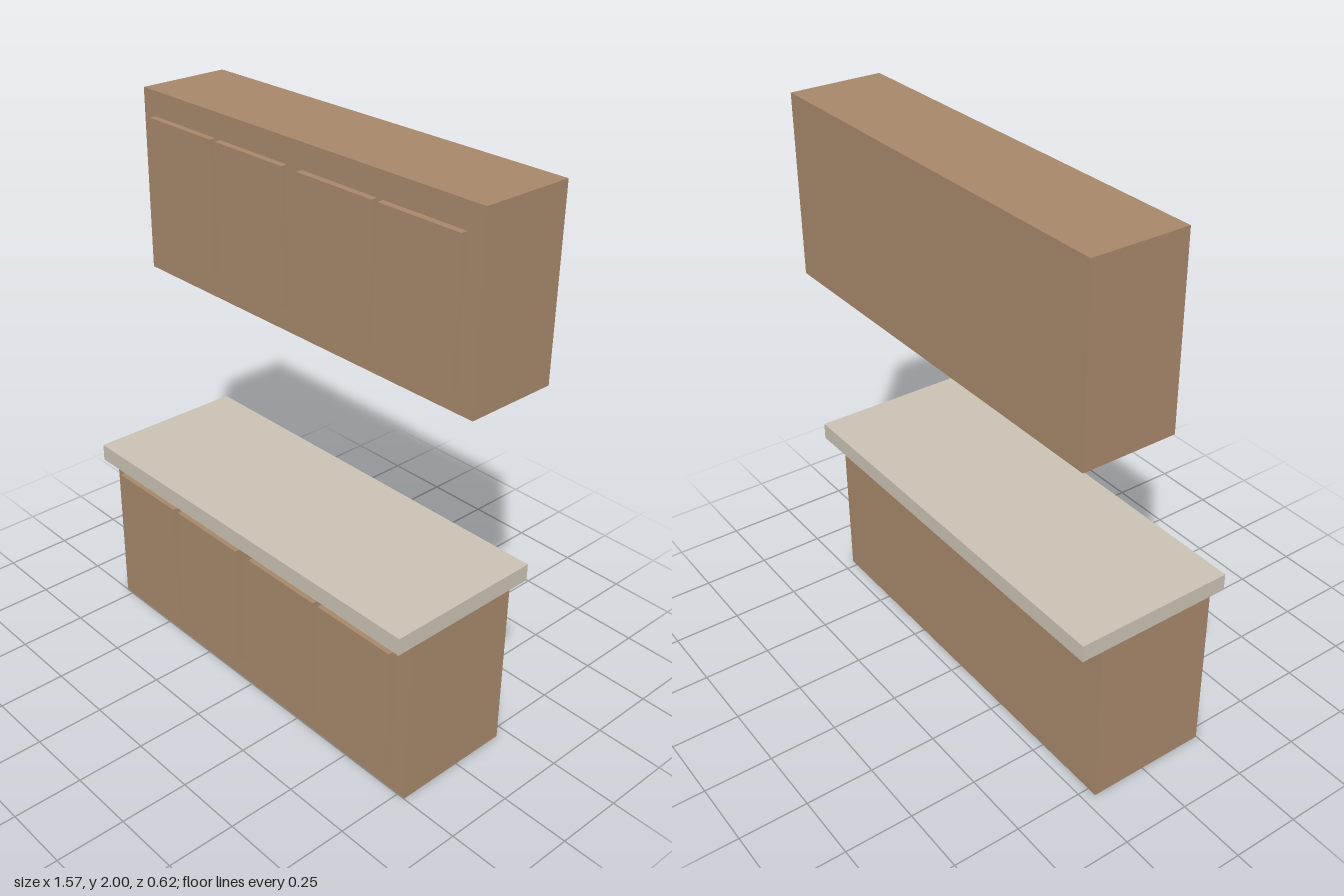
import * as THREE from 'three';

const wood = new THREE.MeshStandardMaterial({ color: 0xa6876a });
const stone = new THREE.MeshStandardMaterial({ color: 0xc9c1b3 });

// Box given by its extents along each axis
function block(name, material, [x0, x1], [y0, y1], [z0, z1]) {
  const mesh = new THREE.Mesh(new THREE.BoxGeometry(x1 - x0, y1 - y0, z1 - z0), material);
  mesh.position.set((x0 + x1) / 2, (y0 + y1) / 2, (z0 + z1) / 2);
  mesh.name = name;
  return mesh;
}

const DOOR_WIDTH = 0.33;
const DOOR_STARTS = [-0.726, -0.37, 0.031, 0.386];

// Cabinet body with a row of four slab doors on its front
function cabinet(name, y, z, doorY, doorFront) {
  const group = new THREE.Group();
  group.name = name;
  group.add(block('cabinetBody', wood, [-0.786, 0.78], y, z));
  DOOR_STARTS.forEach((x, i) => {
    group.add(block(`door${i + 1}`, wood, [x, x + DOOR_WIDTH], doorY, [z[1], doorFront]));
  });
  return group;
}

export function createModel() {
  const model = new THREE.Group();
  model.name = 'kitchenCabinets';

  // Floor unit and its overhanging worktop
  model.add(cabinet('baseCabinet', [0, 0.629], [-0.207, 0.248], [0.093, 0.576], 0.28));
  model.add(block('countertop', stone, [-0.786, 0.786], [0.629, 0.692], [-0.284, 0.31]));

  // Wall unit, hung above the worktop
  model.add(cabinet('wallCabinet', [1.34, 2], [-0.31, 0.033], [1.428, 1.911], 0.057));

  return model;
}
